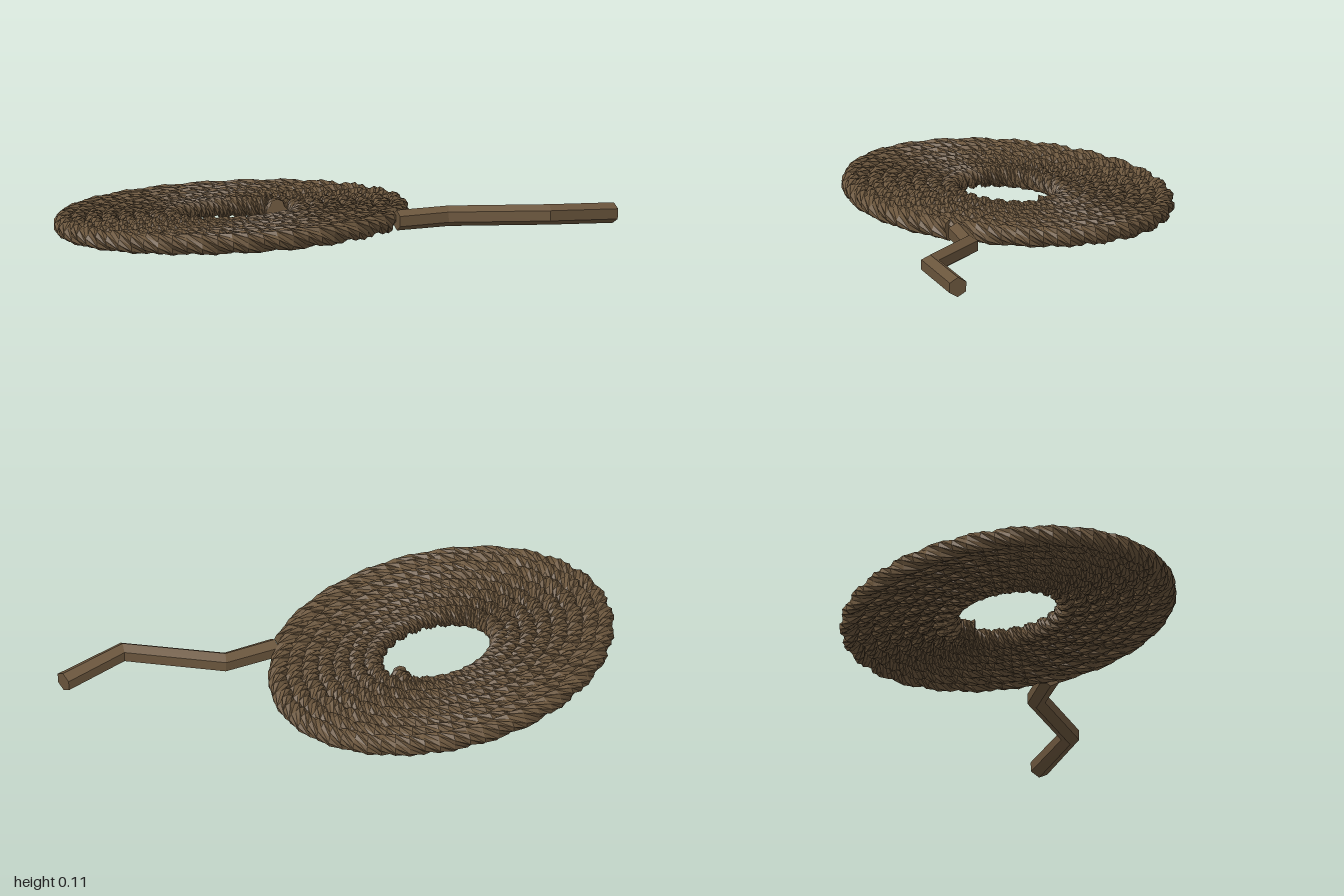
import * as THREE from 'three';

const UP = new THREE.Vector3(0, 1, 0);
const V = (x, y, z) => new THREE.Vector3(x, y, z);

// Sweeps a faceted, capped section along a list of points.
// section: [x, y] offsets, twist: rotation of the section per step
function sweep(points, section, twist = 0) {
  const pos = [], idx = [], n = points.length, sides = section.length;
  points.forEach((p, i) => {
    const t = points[Math.min(i + 1, n - 1)].clone().sub(points[Math.max(i - 1, 0)]).normalize();
    const side = t.clone().cross(UP).normalize();
    const up = side.clone().cross(t);
    const c = Math.cos(i * twist), s = Math.sin(i * twist);
    for (const [x, y] of section) {
      const q = p.clone().addScaledVector(side, x * c - y * s).addScaledVector(up, x * s + y * c);
      pos.push(q.x, q.y, q.z);
    }
  });
  for (let i = 0; i < n - 1; i++) {
    for (let j = 0; j < sides; j++) {
      const k = (j + 1) % sides, a = i * sides, b = a + sides;
      idx.push(a + j, b + j, a + k, b + j, b + k, a + k);
    }
  }
  const last = (n - 1) * sides;
  for (let j = 1; j < sides - 1; j++) {
    idx.push(0, j, j + 1, last, last + j + 1, last + j);
  }
  const geo = new THREE.BufferGeometry();
  geo.setAttribute('position', new THREE.Float32BufferAttribute(pos, 3));
  geo.setIndex(idx);
  const flat = geo.toNonIndexed();
  flat.computeVertexNormals();
  return flat;
}

// Closed section from a radius rule
function section(sides, radius) {
  return Array.from({ length: sides }, (_, j) => {
    const a = (j / sides) * Math.PI * 2 + Math.PI / 6;
    return [Math.cos(a) * radius(j), Math.sin(a) * radius(j)];
  });
}

// Flat elliptical spiral: tucked-in start, even growth, constant outer lap
const TURNS = 7.84, SEG = 72, TWISTS = 8.4, MID_Y = 0.063;
function spiral(turn) {
  const grow = THREE.MathUtils.clamp((turn - 0.6) / 6.6, 0, 1);
  const r = 0.285 + 0.475 * grow - 0.05 * Math.max(0, 1 - turn / 0.05);
  const a = turn * Math.PI * 2;
  return V(-0.21 + r * Math.cos(a), MID_Y, -0.195 - r * 0.763 * Math.sin(a));
}

export function createModel() {
  const rope = new THREE.MeshStandardMaterial({ color: 0x6b563d });
  rope.name = 'ropeBrown';
  const model = new THREE.Group();
  model.name = 'coiledRope';
  const add = (name, geo) => {
    const mesh = new THREE.Mesh(geo, rope);
    mesh.name = name;
    model.add(mesh);
  };

  // Coil of three twisted strands, with a groove between each pair
  const coil = [];
  for (let i = 0; i <= Math.round(TURNS * SEG); i++) coil.push(spiral(i / SEG));
  const strands = section(12, (j) => [0.034, 0.044, 0.047, 0.044][j % 4]);
  add('coil', sweep(coil, strands, (-TWISTS / SEG) * Math.PI * 2));

  // Loose end lying away from the coil
  const tail = [V(0.225, 0.064, 0.31), V(0.44, 0.068, 0.385), V(0.69, 0.088, 0.72), V(0.99, 0.068, 0.77)];
  add('looseEnd', sweep(tail, section(6, () => 0.042)));

  return model;
}
